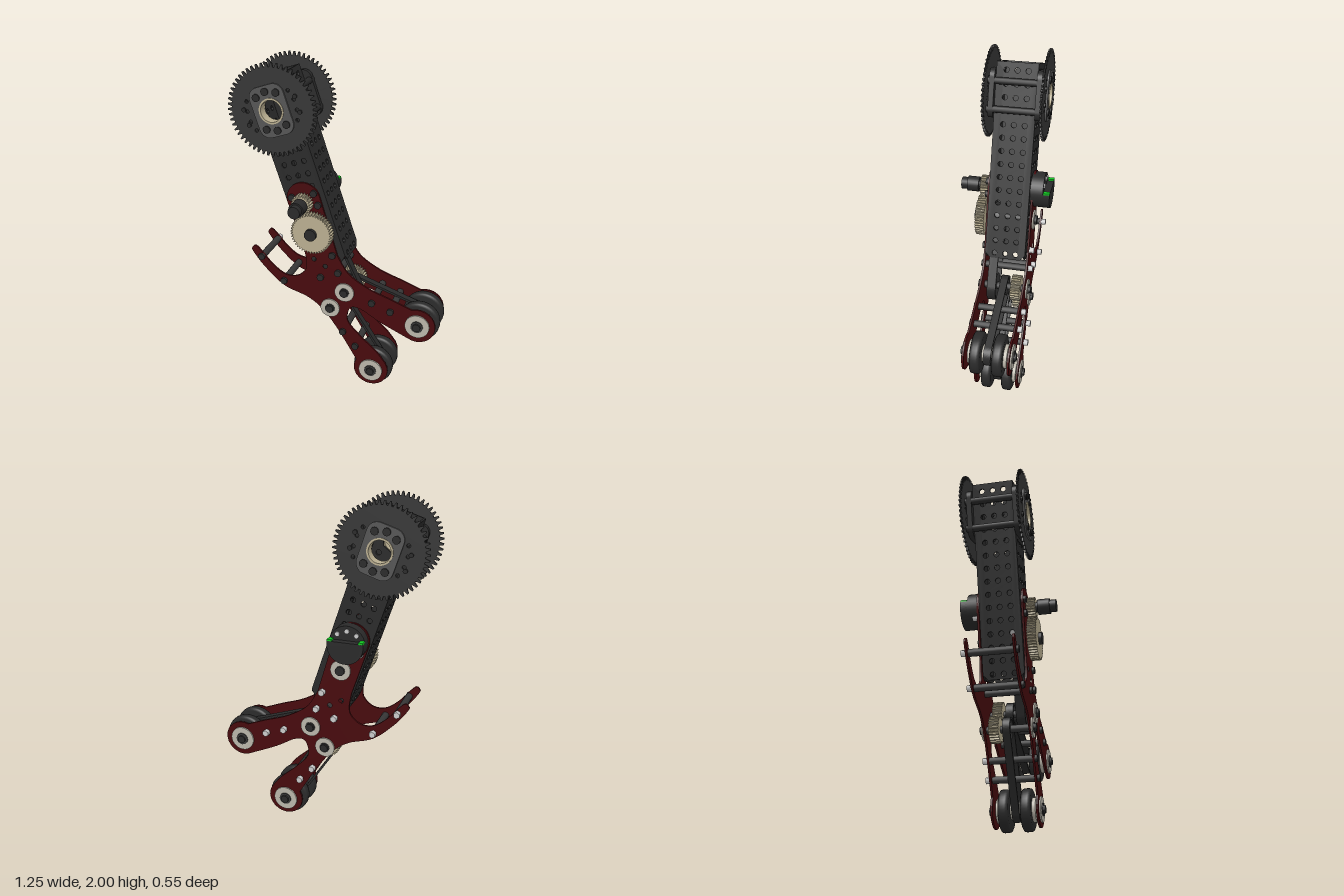
import * as THREE from 'three';

const mat = (color) => new THREE.MeshStandardMaterial({ color });
const BLACK = mat(0x2a2a2a), DARK = mat(0x363636), HUB = mat(0x555555), RED = mat(0x470a0d);
const TAN = mat(0xb9ae90), PALE = mat(0xbab6aa), SILVER = mat(0xcccccc), GREEN = mat(0x12c822);
const TILT = 0.318, TAU = Math.PI * 2;

function add(parent, name, geometry, material, x = 0, y = 0, z = 0) {
  const m = new THREE.Mesh(geometry, material);
  m.name = name;
  m.position.set(x, y, z);
  parent.add(m);
  return m;
}

// Solid disc along z from z0 to z1
function disc(parent, name, r, x, y, z0, z1, material, sides = 28) {
  const g = new THREE.CylinderGeometry(r, r, z1 - z0, sides).rotateX(Math.PI / 2);
  return add(parent, name, g, material, x, y, (z0 + z1) / 2);
}

// Flat outline extruded along z from z0 to z1
function slab(parent, name, shape, x, y, z0, z1, material, curveSegments = 8) {
  const g = new THREE.ExtrudeGeometry(shape, { depth: z1 - z0, bevelEnabled: false, curveSegments });
  return add(parent, name, g, material, x, y, z0);
}

function hole(shape, x, y, r) {
  shape.holes.push(new THREE.Path().absarc(x, y, r, 0, TAU, true));
}

function gearShape(r, teeth, depth, bore) {
  const pts = [], step = TAU / teeth;
  for (let i = 0; i < teeth; i++) {
    [[0, r - depth], [0.3, r - depth], [0.52, r], [0.78, r]].forEach(([f, q]) =>
      pts.push(new THREE.Vector2(q * Math.cos((i + f) * step), q * Math.sin((i + f) * step))));
  }
  const s = new THREE.Shape(pts);
  hole(s, 0, 0, bore);
  return s;
}

function roundedRect(w, h, r) {
  const s = new THREE.Shape(), a = w / 2 - r, b = h / 2 - r, q = Math.PI / 2;
  s.absarc(a, b, r, 0, q).absarc(-a, b, r, q, 2 * q).absarc(-a, -b, r, 2 * q, 3 * q).absarc(a, -b, r, 3 * q, 4 * q);
  s.closePath();
  return s;
}

// Belt loop with a pulley at each end
function belt(parent, name, a, b, r, z0, z1) {
  const t = Math.atan2(b[1] - a[1], b[0] - a[0]), q = Math.PI / 2;
  const loop = (path, k) => path.absarc(b[0], b[1], k, t - q, t + q).absarc(a[0], a[1], k, t + q, t + 3 * q);
  const s = loop(new THREE.Shape(), r);
  s.closePath();
  const inner = loop(new THREE.Path(), r - 0.014);
  inner.closePath();
  s.holes.push(inner);
  slab(parent, name, s, 0, 0, z0, z1, BLACK, 16);
  [a, b].forEach((p) => disc(parent, name + 'Pulley', r - 0.013, p[0], p[1], z0 + 0.006, z1 - 0.006, DARK));
}

// Perforated box channel with end hubs, in its own tilted frame
function buildArm() {
  const arm = new THREE.Group();
  arm.name = 'arm';
  arm.position.set(-0.36, 1.735, -0.04);
  arm.rotation.z = TILT;
  const top = 0.177, bottom = -0.97, w = 0.24, t = 0.012;
  const wall = (bore) => {
    const s = new THREE.Shape();
    s.moveTo(-w / 2, bottom + 0.03).lineTo(-w / 2 + 0.03, bottom).lineTo(w / 2 - 0.03, bottom);
    s.lineTo(w / 2, bottom + 0.03).lineTo(w / 2, top).lineTo(-w / 2, top);
    s.closePath();
    if (bore) hole(s, 0, 0, 0.07);
    for (let y = top - 0.045; y > bottom + 0.03; y -= 0.0765) {
      for (const x of [-0.063, 0, 0.063]) if (!bore || Math.hypot(x, y) > 0.1) hole(s, x, y, 0.016);
    }
    return s;
  };
  for (let i = 0; i < 4; i++) {
    const side = new THREE.Group();
    side.rotation.y = i * Math.PI / 2;
    slab(side, 'channelWall', wall(i % 2 === 0), 0, 0, w / 2 - t, w / 2, BLACK, 4);
    arm.add(side);
  }

  // Sprocket and hub stack on each side
  for (const s of [1, -1]) {
    const end = new THREE.Group();
    end.name = s > 0 ? 'frontHub' : 'backHub';
    if (s < 0) end.rotation.y = Math.PI;
    arm.add(end);
    const sprocket = gearShape(0.265, 54, 0.024, 0.07);
    for (const x of [-1, 1]) for (const y of [-0.085, -0.03, 0.03, 0.085]) {
      hole(sprocket, x * (0.155 - Math.abs(y) * 0.3), y, 0.011);
    }
    slab(end, 'sprocket', sprocket, 0, 0, 0.159, 0.17, DARK);
    const spacer = roundedRect(0.33, 0.28, 0.05), plate = roundedRect(0.21, 0.29, 0.06);
    hole(spacer, 0, 0, 0.07);
    hole(plate, 0, 0, 0.07);
    slab(end, 'hubSpacer', spacer, 0, 0, 0.12, 0.15, BLACK);
    slab(end, 'hubPlate', plate, 0, 0, 0.17, 0.18, HUB);
    const ring = new THREE.Shape().absarc(0, 0, 0.073, 0, TAU);
    hole(ring, 0, 0, 0.062);
    slab(end, 'bearingRing', ring, 0, 0, 0.12, 0.184, TAN, 20);
    for (const y of [-1, 1]) {
      for (const x of [-0.062, 0, 0.062]) {
        disc(end, 'hubBolt', 0.022, x, y * (x ? 0.092 : 0.112), 0.18, 0.188, BLACK, 12);
      }
      for (const x of [-0.16, 0.16]) disc(end, 'sprocketBolt', 0.013, x, y * 0.045, 0.17, 0.18, BLACK, 10);
    }
  }
  // Cross rods joining the hubs
  for (const x of [-0.145, 0.145]) for (const y of [-0.09, 0.07]) {
    disc(arm, 'crossRod', 0.02, x, y, -0.16, 0.16, BLACK, 12);
  }
  return arm;
}

function footPlateShape() {
  const v = (list) => list.map(([x, y]) => new THREE.Vector2(x, y)), d = Math.PI / 180;
  const s = new THREE.Shape();
  s.absarc(-0.2, 1.215, 0.102, 195 * d, 18 * d, true);
  s.lineTo(0.005, 0.88);
  s.splineThru(v([[0.075, 0.77], [0.2, 0.69], [0.35, 0.635], [0.463, 0.591]]));
  s.absarc(0.5, 0.49, 0.108, 110 * d, -120 * d, true);
  s.splineThru(v([[0.275, 0.475], [0.15, 0.545], [0.085, 0.54], [0.07, 0.45], [0.145, 0.36], [0.25, 0.265], [0.31, 0.19]]));
  s.absarc(0.22, 0.13, 0.108, 30 * d, -210 * d, true);
  s.splineThru(v([[0.01, 0.375], [-0.085, 0.5], [-0.185, 0.575], [-0.335, 0.63], [-0.455, 0.735], [-0.53, 0.83], [-0.538, 0.86], [-0.505, 0.87],
    [-0.41, 0.765], [-0.33, 0.71], [-0.255, 0.71], [-0.2, 0.755], [-0.188, 0.81], [-0.2, 0.89]]));
  s.closePath();
  hole(s, -0.14, 0.84, 0.014);
  hole(s, -0.07, 0.8, 0.014);
  return s;
}

export function createModel() {
  const model = new THREE.Group();
  model.name = 'roboticLeg';
  model.add(buildArm());

  // Pair of side plates
  const plate = footPlateShape();
  slab(model, 'frontPlate', plate, 0, 0, 0.083, 0.095, RED);
  slab(model, 'backPlate', plate, 0, 0, -0.177, -0.165, RED);

  // Standoffs with bolt heads in front and nuts behind
  const posts = [[-0.475, 0.81], [-0.335, 0.665], [-0.1, 0.725], [0.01, 0.77], [0.22, 0.6], [0.335, 0.56], [0.04, 0.37], [0.12, 0.28]];
  posts.forEach(([x, y]) => disc(model, 'standoff', 0.021, x, y, -0.165, 0.083, DARK, 12));
  [...posts, [-0.025, 0.88], [-0.27, 1.22], [-0.135, 1.26], [-0.25, 1.14], [-0.11, 1.19]].forEach(([x, y]) => {
    disc(model, 'boltHead', 0.021, x, y, 0.095, 0.11, BLACK, 12);
    disc(model, 'nut', 0.02, x, y, -0.205, -0.177, SILVER, 6);
  });

  // Wheel pairs at the two feet and the pivots driving them
  const feet = [[0.5, 0.49], [0.22, 0.124]], pivots = [[0.05, 0.645], [-0.04, 0.525]];
  const tread = [[0.03, -0.03], [0.108, -0.03], [0.12, -0.024], [0.123, -0.012], [0.123, 0.012], [0.12, 0.024], [0.108, 0.03], [0.03, 0.03]]
    .map(([x, y]) => new THREE.Vector2(x, y));
  const bearing = (x, y, r) => {
    for (const [z, s] of [[0.095, 1], [-0.177, -1]]) {
      const span = (a, b) => (s > 0 ? [z + a, z + b] : [z - b, z - a]);
      disc(model, 'bearingCap', r, x, y, ...span(0, 0.009), PALE);
      disc(model, 'axleWasher', r * 0.5, x, y, ...span(0.009, 0.015), DARK, 16);
      disc(model, 'axleBolt', 0.024, x, y, ...span(0.015, 0.026), BLACK, 12);
    }
    disc(model, 'axle', 0.022, x, y, -0.177, 0.095, DARK, 12);
  };
  feet.forEach(([x, y], i) => {
    for (const z of [0.022, -0.106]) {
      add(model, 'wheel', new THREE.LatheGeometry(tread, 40).rotateX(Math.PI / 2), BLACK, x, y, z);
    }
    disc(model, 'wheelHub', 0.07, x, y, 0.05, 0.072, PALE);
    disc(model, 'wheelHub', 0.07, x, y, -0.156, -0.134, PALE);
    disc(model, 'wheelSpacer', 0.05, x, y, -0.08, -0.005, PALE);
    bearing(x, y, 0.074);
    belt(model, 'footBelt', pivots[i], feet[i], 0.068, -0.064, -0.02);
  });
  pivots.forEach(([x, y]) => {
    bearing(x, y, 0.06);
    slab(model, 'linkGear', gearShape(0.078, 26, 0.012, 0.02), x, y, -0.142, -0.085, TAN);
  });
  belt(model, 'driveBelt', [-0.13, 1.025], pivots[0], 0.09, 0, 0.053);

  // Gear train on the front
  slab(model, 'largeGear', gearShape(0.125, 44, 0.012, 0.02), -0.135, 1.028, 0.105, 0.158, TAN);
  disc(model, 'gearShaft', 0.024, -0.135, 1.028, -0.165, 0.165, DARK, 16);
  disc(model, 'gearBolt', 0.036, -0.135, 1.028, 0.158, 0.178, BLACK, 16);
  slab(model, 'pinion', gearShape(0.06, 20, 0.012, 0.015), -0.195, 1.2, 0.1, 0.152, TAN);
  disc(model, 'pinionShaft', 0.03, -0.195, 1.2, 0.08, 0.17, BLACK, 16);
  disc(model, 'knob', 0.045, -0.195, 1.2, 0.165, 0.235, BLACK);
  disc(model, 'knobTip', 0.036, -0.195, 1.2, 0.235, 0.272, BLACK);
  const bx = -0.135, by = 1.028;
  disc(model, 'backGearBearing', 0.06, bx, by, -0.186, -0.177, PALE);
  disc(model, 'backGearBolt', 0.028, bx, by, -0.2, -0.186, BLACK, 12);

  // Sensor housing on the back, with a raised lower half
  const sx = -0.19, sy = 1.21;
  disc(model, 'sensorBase', 0.105, sx, sy, -0.235, -0.16, BLACK, 36);
  const half = new THREE.Shape().absarc(0, 0, 0.105, Math.PI - 0.2, TAU + 0.2);
  half.closePath();
  slab(model, 'sensorCover', half, sx, sy, -0.275, -0.235, BLACK, 24);
  for (const x of [-0.09, 0.09]) {
    add(model, 'connector', new THREE.BoxGeometry(0.026, 0.012, 0.038), GREEN, sx + x, sy + 0.025, -0.256);
  }
  for (const x of [-0.055, 0, 0.055]) {
    disc(model, 'sensorBolt', 0.014, sx + x, sy + (x ? 0.055 : 0.075), -0.243, -0.235, SILVER, 10);
  }
  return model;
}
